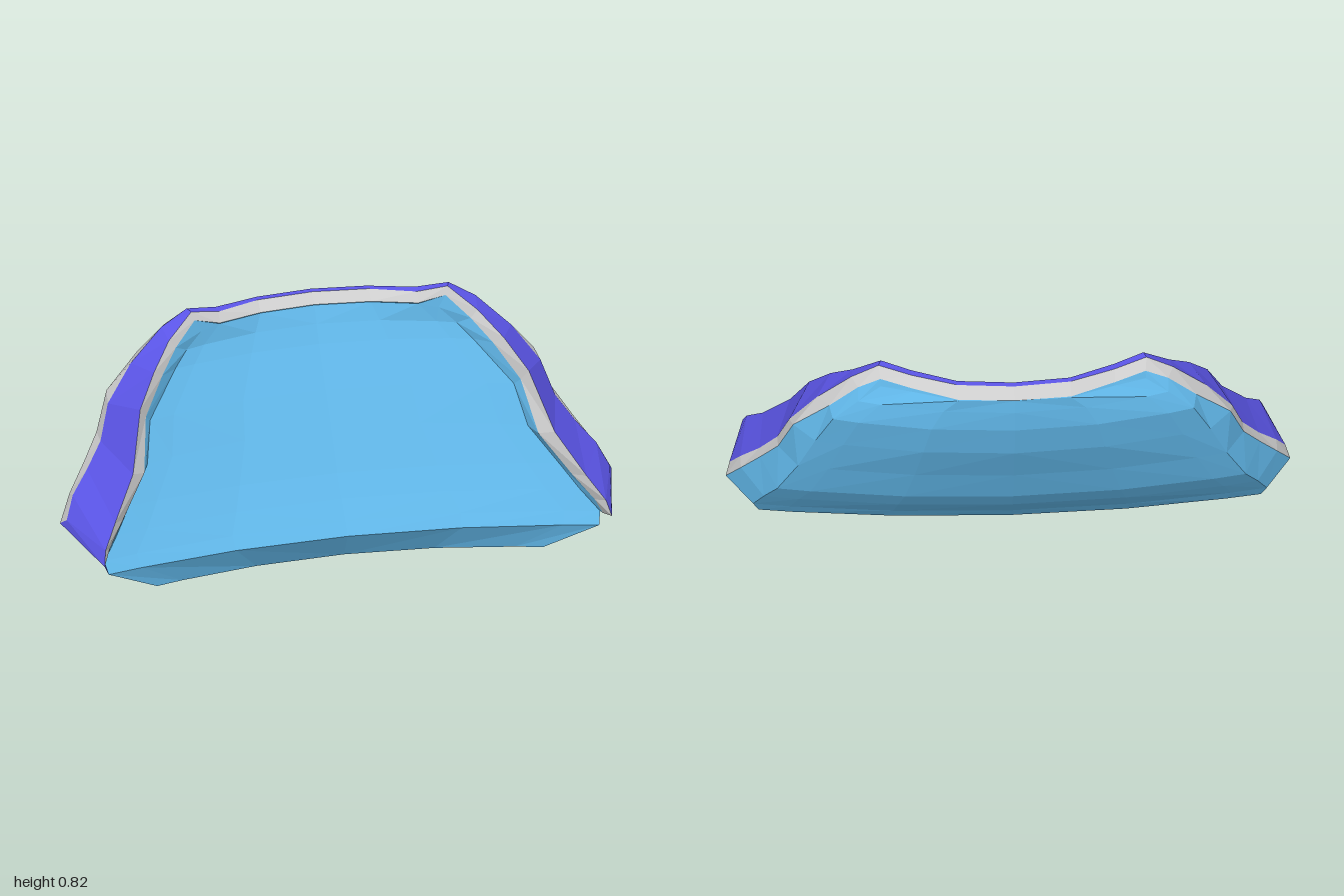
import * as THREE from 'three';

const blue = new THREE.MeshStandardMaterial({ color: 0x5fb4e5, flatShading: true });
const purple = new THREE.MeshStandardMaterial({ color: 0x5c56ea, flatShading: true });
const grey = new THREE.MeshStandardMaterial({ color: 0xcccccc, flatShading: true });

// Arch curves for the +x half, from the lower corner up to the centre line
const innerEdge = [[.9, .135, .31], [.84, .2, .25], [.78, .275, .18], [.69, .385, .08], [.66, .51, -.01], [.54, .64, -.135],
  [.49, .69, -.175], [.43, .745, -.2], [.36, .757, -.22], [.2, .757, -.27], [0, .757, -.29]];
const rimInner = [[.905, .137, .33], [.88, .185, .315], [.815, .255, .24], [.715, .38, .14], [.68, .535, .01], [.6, .645, -.08],
  [.535, .715, -.15], [.455, .79, -.2], [.36, .762, -.215], [.2, .76, -.268], [0, .76, -.288]];
const rimOuter = [[.92, .162, .41], [.908, .205, .37], [.855, .27, .29], [.765, .4, .18], [.705, .575, .03], [.635, .67, -.06],
  [.56, .745, -.15], [.465, .82, -.21], [.36, .795, -.24], [.2, .79, -.31], [0, .79, -.33]];
const bandBack = [[.985, .2, .09], [.95, .265, .03], [.885, .335, -.025], [.825, .415, -.075], [.785, .53, -.135], [.69, .655, -.185],
  [.57, .765, -.225], [.475, .82, -.24], [.36, .797, -.275], [.2, .79, -.335], [0, .79, -.355]];
const backTrim = [[1, .17, .05], [.95, .25, -.02], [.885, .335, -.08], [.825, .42, -.14], [.775, .55, -.2], [.65, .665, -.255],
  [.55, .75, -.272], [.47, .785, -.275], [.36, .768, -.315], [.2, .76, -.385], [0, .76, -.4]];
const backEdge = [[.91, .135, -.08], [.875, .2, -.13], [.83, .265, -.18], [.76, .39, -.225], [.7, .52, -.262], [.64, .635, -.298],
  [.55, .71, -.3], [.47, .76, -.285], [.36, .757, -.32], [.2, .757, -.387], [0, .757, -.4]];

// Centre-line [y, z] of each front and back row
const frontMid = [[.14, .2], [.2, .14], [.27, .075], [.4, -.025], [.51, -.11], [.64, -.215], [.7, -.255]];
const backMid = [[.14, -.18], [.2, -.23], [.265, -.275], [.385, -.32], [.52, -.38], [.635, -.405], [.71, -.405]];

// Bow a row from its outer end to the centre line
function bowRow([x, y, z], [cy, cz]) {
  return [1, .86, .46, 0].map(u => [x * u, cy + (y - cy) * u * u, cz + (z - cz) * u * u]);
}

// Faceted surface over rows of points, mirrored across x = 0
function sheet(rows) {
  const pos = [];
  const tri = (a, b, c) => {
    pos.push(...a, ...b, ...c);
    for (const p of [a, c, b]) pos.push(-p[0], p[1], p[2]);
  };
  for (let i = 0; i < rows.length - 1; i++) {
    for (let j = 0; j < rows[i].length - 1; j++) {
      const a = rows[i][j], b = rows[i + 1][j], c = rows[i + 1][j + 1], d = rows[i][j + 1];
      tri(a, b, d);
      tri(b, c, d);
    }
  }
  const geometry = new THREE.BufferGeometry();
  geometry.setAttribute('position', new THREE.Float32BufferAttribute(pos, 3));
  geometry.computeVertexNormals();
  return geometry;
}

export function createModel() {
  const group = new THREE.Group();
  const add = (name, rows, material) => {
    const mesh = new THREE.Mesh(sheet(rows), material);
    mesh.name = name;
    group.add(mesh);
  };

  // Raised band around the arch
  add('innerWall', [innerEdge, rimInner], blue);
  add('frontRim', [rimInner, rimOuter], grey);
  add('outerBand', [rimOuter, bandBack], purple);
  add('backRim', [bandBack, backTrim], grey);
  add('shellSide', [backTrim, backEdge], blue);

  // Rows of the bowed front and back panels, with a bevelled foot
  const frontFoot = bowRow([.7, 0, .28], [0, .18]);
  const backFoot = bowRow([.7, 0, .1], [0, .03]);
  const frontSill = bowRow([.89, .095, .34], [.1, .24]);
  const backSill = bowRow([.89, .095, -.06], [.1, -.15]);
  const frontRows = frontMid.map((mid, i) => bowRow(innerEdge[i], mid));
  const backRows = backMid.map((mid, i) => bowRow(backEdge[i], mid));
  add('frontPanel', [frontFoot, frontSill, ...frontRows, innerEdge.slice(7)], blue);
  add('backPanel', [backFoot, backSill, ...backRows, backEdge.slice(7)].reverse(), blue);
  add('base', [backFoot, frontFoot], purple);

  // Lower ends of the band and the foot
  add('bandEnd', [[innerEdge[0], rimOuter[0]], [backEdge[0], backTrim[0]]], purple);
  add('bandEndCorner', [[rimOuter[0], bandBack[0]], [backTrim[0], backTrim[0]]], purple);
  add('footEnd', [[backEdge[0], backSill[0], backFoot[0]], [innerEdge[0], frontSill[0], frontFoot[0]]], purple);
  return group;
}
